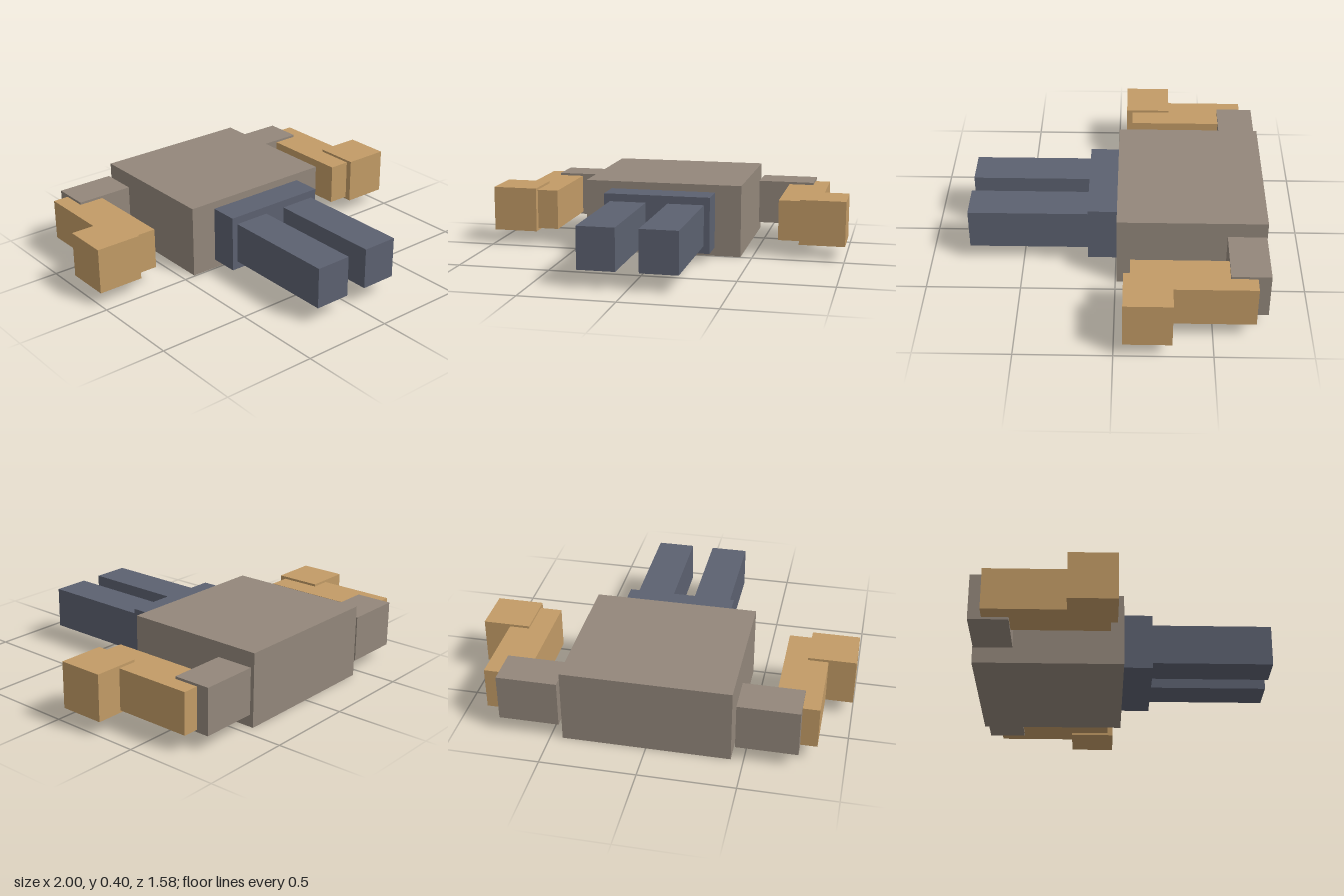
import * as THREE from 'three';

export function createModel() {
  const model = new THREE.Group();
  model.name = 'lyingBlockFigure';

  const material = (name, color) => {
    const m = new THREE.MeshStandardMaterial({ color });
    m.name = name;
    return m;
  };
  const shirt = material('shirt taupe', 0x93877b);
  const skin = material('skin tan', 0xc29b66);
  const trousers = material('trousers slate', 0x5c6170);

  // Box given by its [min, max] range on each axis
  const block = (name, mat, x, y, z) => {
    const mesh = new THREE.Mesh(
      new THREE.BoxGeometry(x[1] - x[0], y[1] - y[0], z[1] - z[0]), mat);
    mesh.position.set((x[0] + x[1]) / 2, (y[0] + y[1]) / 2, (z[0] + z[1]) / 2);
    mesh.name = name;
    model.add(mesh);
  };

  // Body
  block('torso', shirt, [-0.436, 0.436], [0, 0.396], [-0.788, -0.007]);
  block('pelvis', trousers, [-0.292, 0.292], [0.047, 0.355], [-0.007, 0.149]);

  // Limbs, mirrored: left is +x
  for (const [side, s] of [['left', 1], ['right', -1]]) {
    const limb = (name, mat, x, y, z) =>
      block(side + name, mat, s > 0 ? x : [-x[1], -x[0]], y, z);
    limb('Leg', trousers, [0.06, 0.26], [0.09, 0.313], [0.149, 0.788]);
    limb('Sleeve', shirt, [0.455, 0.771], [0.077, 0.326], [-0.783, -0.58]);
    limb('Arm', skin, [0.632, 0.857], [0.09, 0.313], [-0.715, -0.079]);
    limb('Hand', skin, [0.75, 1], [0.077, 0.326], [-0.293, -0.046]);
  }
  return model;
}
